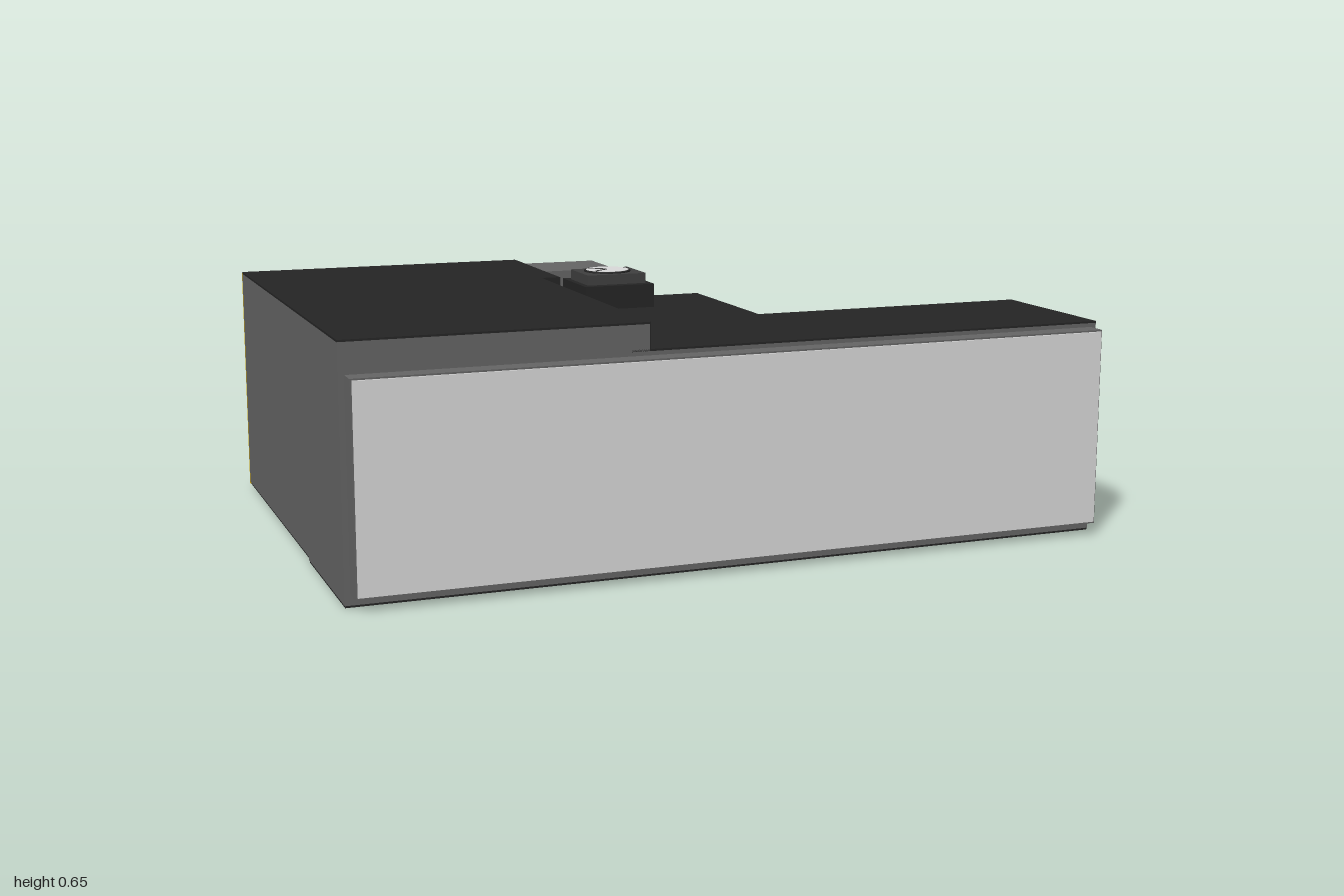
import * as THREE from 'three';

const mat = (name, hex) => {
  const m = new THREE.MeshStandardMaterial({ color: hex });
  m.name = name;
  return m;
};

export function createModel() {
  const root = new THREE.Group();
  root.name = 'building';
  const grey = mat('wallGrey', 0x656565);
  const dark = mat('darkGrey', 0x404040);
  const black = mat('roofBlack', 0x252525);
  const white = mat('panelWhite', 0xdadada);
  const yellow = mat('signYellow', 0xdcb412);
  const blue = mat('fanBlue', 0x5790ae);

  const add = (name, geo, material, parent = root) => {
    const m = new THREE.Mesh(geo, material);
    m.name = name;
    parent.add(m);
    return m;
  };
  // box from min/max along each axis
  const box = (name, material, [x0, x1], [y0, y1], [z0, z1], parent = root) => {
    const m = add(name, new THREE.BoxGeometry(x1 - x0, y1 - y0, z1 - z0), material, parent);
    m.position.set((x0 + x1) / 2, (y0 + y1) / 2, (z0 + z1) / 2);
    return m;
  };
  const shapeOf = (pts) => new THREE.Shape(pts.map(([a, b]) => new THREE.Vector2(a, b)));
  const pathOf = (pts) => new THREE.Path(pts.map(([a, b]) => new THREE.Vector2(a, b)));

  // L-shaped footprint slab, drawn in x / -z and raised along y
  const slab = (name, pts, y0, y1, materials) => {
    const shape = shapeOf(pts.map(([x, z]) => [x, -z]));
    const m = add(name, new THREE.ExtrudeGeometry(shape, { depth: y1 - y0, bevelEnabled: false }), materials);
    m.rotation.x = -Math.PI / 2;
    m.position.y = y0;
    return m;
  };

  // main walls
  const lower = [[-0.3, 0.63], [0.975, 0.63], [0.975, 0.212], [0.21, 0.212], [0.21, -0.22], [-0.3, -0.22]];
  slab('mainWalls', lower, 0.015, 0.55, grey);
  slab('mainRoof', lower, 0.55, 0.555, black);
  box('frontFooting', grey, [-0.999, 0.974], [0.005, 0.03], [0.215, 0.63]);
  const tall = [[-1, 0.63], [-0.255, 0.63], [-0.255, -0.22], [-0.2, -0.22], [-0.2, -0.64], [-1, -0.64]];
  slab('tallWalls', tall, 0.015, 0.615, grey);
  slab('tallRoof', tall, 0.615, 0.62, black);

  // black edge of the raised roof and dark walls around the terrace
  box('roofEdge', black, [-0.256, -0.252], [0.555, 0.62], [-0.22, 0.629]);
  box('roofReturn', black, [-0.256, -0.199], [0.555, 0.62], [-0.222, -0.217]);
  box('terraceSideWall', dark, [-0.204, -0.197], [0.34, 0.619], [-0.643, -0.22]);
  box('terraceEndWall', dark, [-0.2, 0.209], [0.34, 0.554], [-0.224, -0.218]);
  for (const z of [-0.58, -0.61]) {
    const bolt = add('wallBolt', new THREE.CylinderGeometry(0.008, 0.008, 0.006, 12), black);
    bolt.rotation.z = Math.PI / 2;
    bolt.position.set(-0.195, 0.525, z);
  }

  // terrace with rounded white floor
  box('terraceBase', grey, [-0.2, 0.21], [0.015, 0.315], [-0.645, -0.22]);
  const rim = shapeOf([[-0.2, 0.22], [0.21, 0.22], [0.21, 0.645], [-0.2, 0.645]]);
  const hole = new THREE.Path();
  const [hx0, hx1, hy0, hy1, r] = [-0.178, 0.19, 0.245, 0.622, 0.02];
  hole.moveTo(hx0 + r, hy0);
  hole.lineTo(hx1 - r, hy0).quadraticCurveTo(hx1, hy0, hx1, hy0 + r);
  hole.lineTo(hx1, hy1 - r).quadraticCurveTo(hx1, hy1, hx1 - r, hy1);
  hole.lineTo(hx0 + r, hy1).quadraticCurveTo(hx0, hy1, hx0, hy1 - r);
  hole.lineTo(hx0, hy0 + r).quadraticCurveTo(hx0, hy0, hx0 + r, hy0);
  rim.holes.push(hole);
  const rimMesh = add('terraceRim', new THREE.ExtrudeGeometry(rim, { depth: 0.027, bevelEnabled: false }), grey);
  rimMesh.rotation.x = -Math.PI / 2;
  rimMesh.position.y = 0.315;
  box('terraceFloor', white, [-0.18, 0.192], [0.315, 0.334], [-0.624, -0.243]);
  box('terraceSkirting', grey, [-0.2, -0.183], [0.34, 0.4], [-0.643, -0.222]);
  box('terraceSkirtingFace', white, [-0.183, -0.178], [0.342, 0.399], [-0.643, -0.222]);
  box('wallSlot', dark, [0.208, 0.213], [0.318, 0.325], [-0.62, -0.24]);
  box('wallVent', dark, [0.208, 0.213], [0.025, 0.08], [-0.615, -0.213]);
  box('wallUnit', grey, [-0.2, 0.005], [0.425, 0.62], [-0.54, -0.345]);

  // front light panel
  box('frontPanelBody', grey, [-0.985, 0.96], [0.032, 0.54], [0.63, 0.682]);
  box('frontPanelFace', white, [-0.98, 0.955], [0.037, 0.536], [0.682, 0.688]);

  // underside
  box('tallUnderside', black, [-0.998, -0.2], [0.009, 0.016], [-0.64, 0.215]);
  box('terraceUnderside', black, [-0.2, 0.208], [0.009, 0.016], [-0.643, 0.215]);
  box('frontUnderside', black, [-0.998, 0.973], [0, 0.006], [0.216, 0.629]);

  // back wall and fan
  box('fanWall', yellow, [-1, -0.28], [0.01, 0.617], [-0.646, -0.638]);
  box('fanWallStrip', dark, [-0.28, -0.2], [0.015, 0.617], [-0.645, -0.638]);
  const fan = new THREE.Group();
  fan.name = 'fan';
  fan.position.set(-0.658, 0.305, -0.645);
  fan.rotation.y = Math.PI;
  root.add(fan);
  const disc = (name, radius, z0, z1, material, segs = 64) => {
    const m = add(name, new THREE.CylinderGeometry(radius, radius, z1 - z0, segs), material, fan);
    m.rotation.x = Math.PI / 2;
    m.position.z = (z0 + z1) / 2;
  };
  disc('fanHousing', 0.242, -0.003, 0.042, yellow);
  disc('fanDisc', 0.224, 0.04, 0.044, blue);
  for (let i = 0; i < 6; i++) {
    const a = (i * Math.PI) / 3;
    const spoke = add('fanSpoke', new THREE.BoxGeometry(0.006, 0.15, 0.003), dark, fan);
    spoke.position.set(Math.sin(a) * 0.145, Math.cos(a) * 0.145, 0.0445);
    spoke.rotation.z = -a;
  }
  disc('fanHubEdge', 0.067, 0.04, 0.045, dark, 40);
  disc('fanHub', 0.06, 0.04, 0.046, blue, 40);

  // roof hatch
  box('hatchBase', black, [-0.195, 0], [0.555, 0.618], [-0.205, -0.01]);
  box('hatchCap', dark, [-0.18, -0.015], [0.618, 0.645], [-0.18, -0.035]);
  const lid = add('hatchLid', new THREE.CylinderGeometry(0.058, 0.058, 0.006, 32), white);
  lid.position.set(-0.098, 0.647, -0.112);
  const ring = add('hatchRing', new THREE.TorusGeometry(0.06, 0.004, 6, 32), black);
  ring.rotation.x = Math.PI / 2;
  ring.position.set(-0.098, 0.646, -0.112);
  for (const s of [-1, 1]) {
    const bar = add('hatchBar', new THREE.BoxGeometry(0.05, 0.003, 0.005), dark);
    bar.position.set(-0.122, 0.65, -0.112 + s * 0.018);
    bar.rotation.y = s * 0.65;
  }

  // side door, shapes drawn in z / y and facing +x
  const plate = (name, shape, x0, x1, material) => {
    const m = add(name, new THREE.ExtrudeGeometry(shape, { depth: x1 - x0, bevelEnabled: false }), material);
    m.rotation.y = Math.PI / 2;
    m.position.x = x0;
  };
  const side = (pts) => pts.map(([z, y]) => [-z, y]);
  box('doorBack', dark, [0.974, 0.988], [0.003, 0.465], [0.314, 0.557]);
  const frame = shapeOf(side([[0.557, 0.003], [0.314, 0.003], [0.314, 0.465], [0.557, 0.465]]));
  frame.holes.push(pathOf(side([[0.535, 0.17], [0.535, 0.44], [0.35, 0.44], [0.335, 0.42], [0.335, 0.012], [0.55, 0.012], [0.55, 0.1]])));
  plate('doorFrame', frame, 0.985, 0.998, dark);
  const upper = shapeOf(side([[0.498, 0.17], [0.46, 0.17], [0.358, 0.28], [0.358, 0.417], [0.485, 0.417], [0.498, 0.4]]));
  upper.holes.push(pathOf(side([[0.446, 0.25], [0.43, 0.235], [0.41, 0.235], [0.395, 0.26], [0.395, 0.4], [0.44, 0.4], [0.446, 0.39]])));
  plate('doorUpperPanel', upper, 0.987, 0.994, yellow);
  plate('doorLowerPanel', shapeOf(side([[0.548, 0.015], [0.336, 0.015], [0.336, 0.236], [0.476, 0.092], [0.548, 0.092]])), 0.987, 0.994, yellow);
  plate('doorGroove', shapeOf(side([[0.532, 0.17], [0.526, 0.17], [0.526, 0.43], [0.532, 0.43]])), 0.987, 0.99, black);
  const knob = add('doorKnob', new THREE.CylinderGeometry(0.022, 0.022, 0.006, 20), dark);
  knob.rotation.z = Math.PI / 2;
  knob.position.set(0.995, 0.04, 0.517);
  box('doorTag', yellow, [0.995, 1], [0.425, 0.44], [0.316, 0.33]);

  return root;
}
